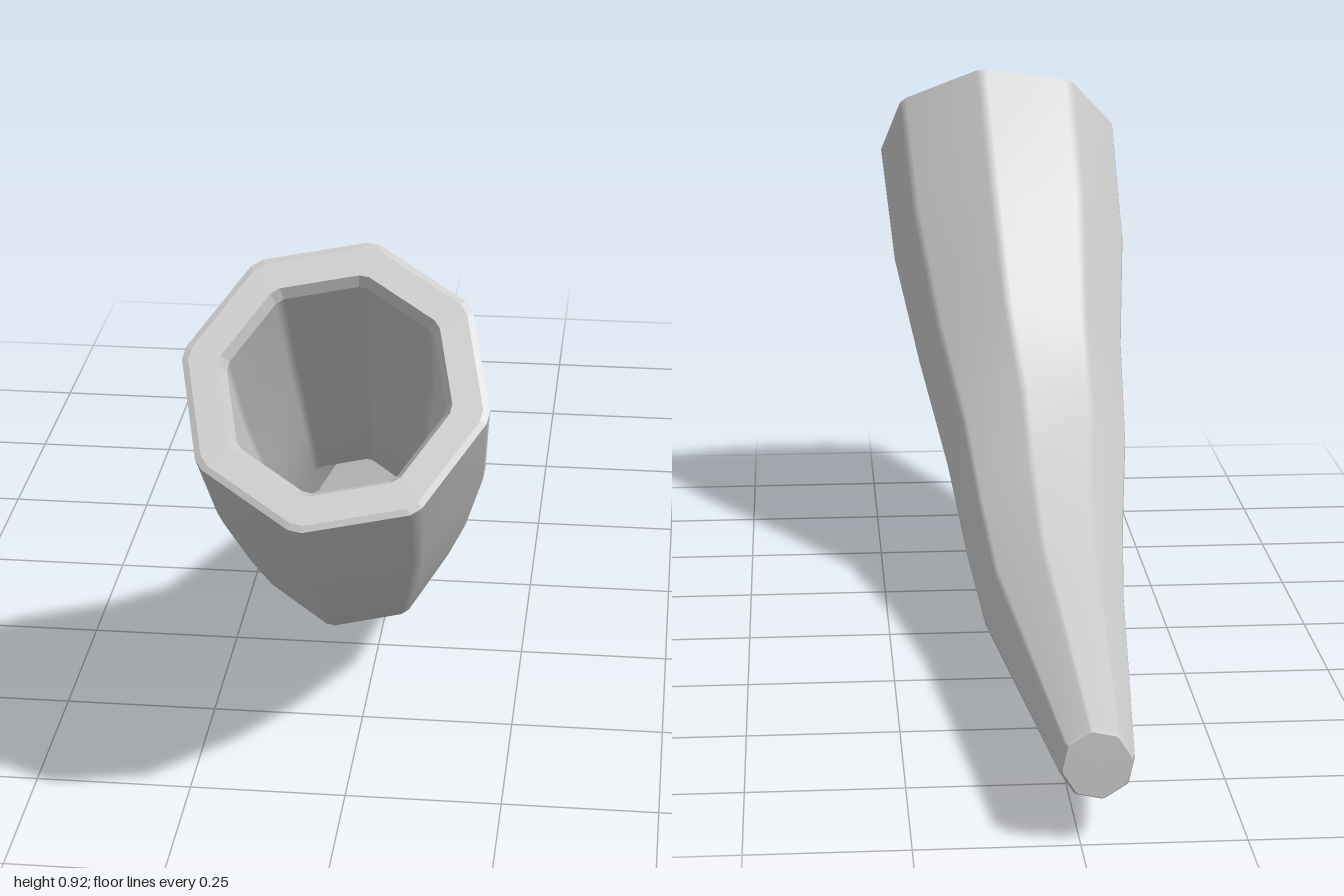
import * as THREE from 'three';

// Octagon turned by 10 degrees, each corner cut by a narrow bevel
const angles = [];
for (let k = 0; k < 8; k++) {
  for (const d of [-2.5, 2.5]) angles.push(THREE.MathUtils.degToRad(-10 + 45 * k + d));
}

// Cross-sections from mouth to tip: centre x, y, z, radius, lean in degrees
const sections = [
  [0.00, 0.757, 0.838, 0.233, 45],
  [-0.01, 0.570, 0.645, 0.224, 44],
  [-0.02, 0.400, 0.480, 0.194, 46],
  [-0.037, 0.250, 0.300, 0.168, 33],
  [-0.030, 0.165, 0.025, 0.142, 14.5],
  [-0.025, 0.119, -0.235, 0.121, 7],
  [-0.024, 0.125, -0.990, 0.057, 0],
  [-0.024, 0.125, -1.000, 0.052, 0],
];

// Same section with another radius, pushed along its axis towards the mouth
function resize([x, y, z, , lean], radius, push = 0) {
  const a = THREE.MathUtils.degToRad(lean);
  return [x, y + Math.sin(a) * push, z + Math.cos(a) * push, radius, lean];
}

// Skin through the rings, facing outward when they run from front to back
function loft(name, rings, flatShading = false) {
  const positions = [], index = [], n = angles.length;
  rings.forEach(([x, y, z, r, lean], i) => {
    const a = THREE.MathUtils.degToRad(lean);
    angles.forEach((t, j) => {
      const v = r * Math.sin(t);
      positions.push(x + r * Math.cos(t), y + v * Math.cos(a), z - v * Math.sin(a));
      if (i === rings.length - 1) return;
      const p = i * n + j, q = i * n + (j + 1) % n;
      index.push(p, p + n, q, q, p + n, q + n);
    });
  });
  const geometry = new THREE.BufferGeometry();
  geometry.setAttribute('position', new THREE.Float32BufferAttribute(positions, 3));
  geometry.setIndex(index);
  geometry.computeVertexNormals();
  const mesh = new THREE.Mesh(geometry, new THREE.MeshStandardMaterial({ color: 0xcccccc, flatShading }));
  mesh.name = name;
  return mesh;
}

export function createModel() {
  const group = new THREE.Group();
  group.name = 'horn';
  const mouth = sections[0], tip = sections[sections.length - 1];

  // Curved, tapering outside
  group.add(loft('hornBody', sections));

  // Flat mouth rim with a small bevel inside and outside
  const lip = resize(mouth, 0.166, -0.015);
  group.add(loft('mouthRim', [
    lip,
    resize(mouth, 0.177, 0.004),
    resize(mouth, 0.223, 0.004),
    mouth,
  ], true));

  // Hollow inside, listed from the depth out to the lip
  const inner = sections.slice(1, 5).map((s) => resize(s, s[3] * 0.72)).reverse();
  group.add(loft('hollow', [...inner, lip]));
  group.add(loft('hollowEnd', [resize(inner[0], 0), inner[0]], true));

  // Closed tip
  group.add(loft('tipCap', [tip, resize(tip, 0)], true));
  return group;
}
